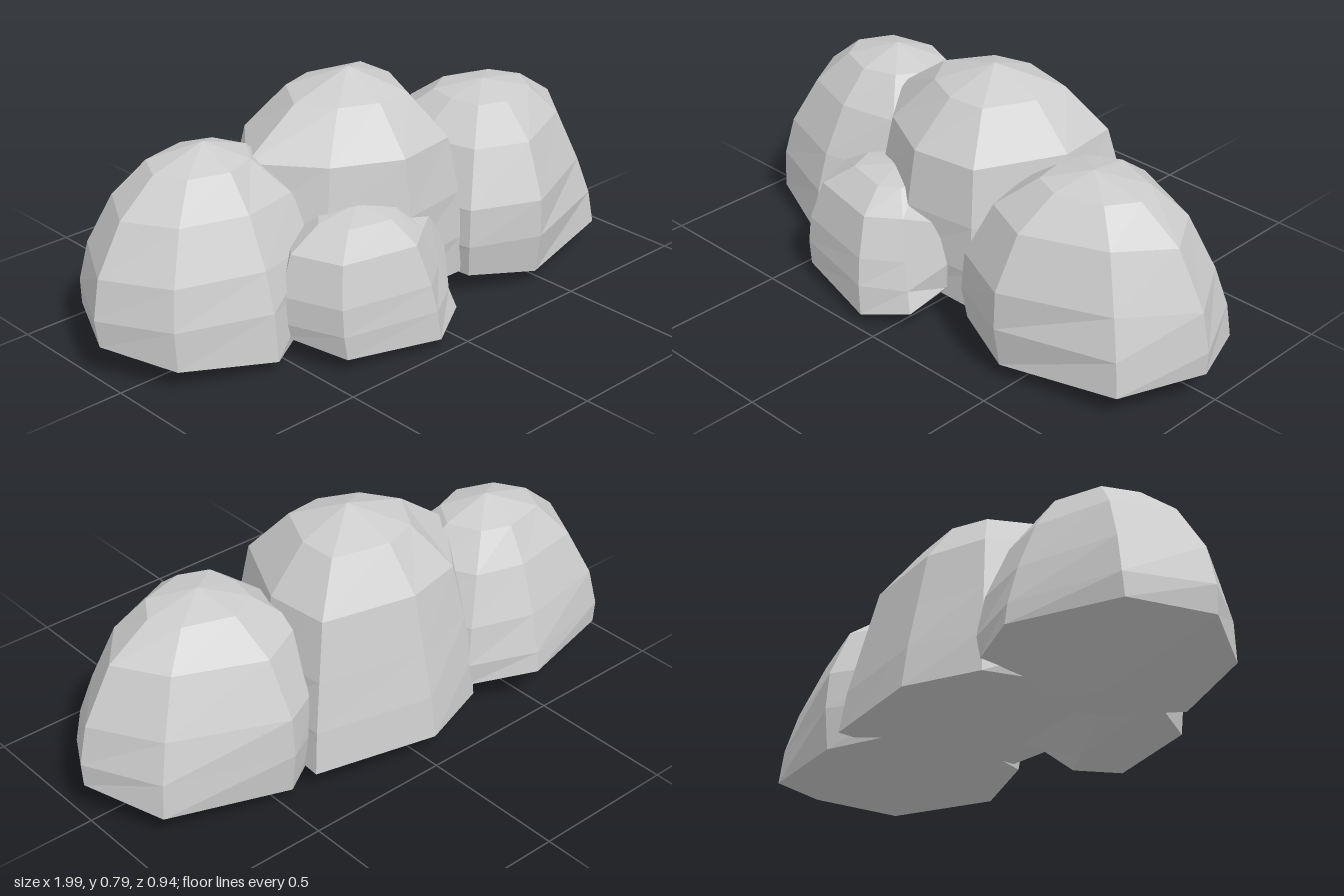
import * as THREE from 'three';

const material = new THREE.MeshStandardMaterial({ color: 0xcccccc, flatShading: true });

// A faceted boulder: an eight-point footprint [x, z, baseY, bulge] lofted
// through rings [scale, y] to an apex, and closed below by a shallow point.
// Bulge swells (or hollows) that corner's upper wall.
function boulder(name, { foot, rings, apex, bottom }) {
  const points = [];
  const index = [];
  const n = foot.length;
  const topY = apex[1];

  // footprint ring, then scaled rings sliding towards the apex
  for (const [x, z, y] of foot) points.push(x, y, z);
  for (const [scale, y] of rings) {
    const t = y / topY;
    const cx = THREE.MathUtils.lerp(bottom[0], apex[0], t);
    const cz = THREE.MathUtils.lerp(bottom[2], apex[2], t);
    for (const [x, z, , bulge] of foot) {
      const k = scale * (1 + bulge * 6.75 * t * t * (1 - t));
      points.push(cx + (x - bottom[0]) * k, y, cz + (z - bottom[2]) * k);
    }
  }
  const top = points.length / 3;
  points.push(...apex, ...bottom);

  // walls, crown and underside
  for (let i = 0; i < n; i++) {
    const j = (i + 1) % n;
    for (let r = 0; r < rings.length; r++) {
      const a = r * n + i, b = r * n + j;
      index.push(a, a + n, b, b, a + n, b + n);
    }
    const last = rings.length * n;
    index.push(last + i, top, last + j);
    index.push(i, j, top + 1);
  }

  const indexed = new THREE.BufferGeometry();
  indexed.setAttribute('position', new THREE.Float32BufferAttribute(points, 3));
  indexed.setIndex(index);
  const geometry = indexed.toNonIndexed();
  geometry.computeVertexNormals();
  const mesh = new THREE.Mesh(geometry, material);
  mesh.name = name;
  return mesh;
}

export function createModel() {
  const group = new THREE.Group();
  group.name = 'rockCluster';

  group.add(
    // tallest rock in the middle
    boulder('centerRock', {
      foot: [[0.37, -0.07, 0.08, 0], [0.21, 0.26, 0.09, 0], [-0.05, 0.27, 0.1, 0.09], [-0.31, 0.17, 0.09, 0],
        [-0.42, -0.07, 0.08, 0.2], [-0.29, -0.37, 0.08, -0.06], [-0.03, -0.46, 0.08, -0.13], [0.39, -0.36, 0.08, -0.12]],
      rings: [[1, 0.22], [0.96, 0.38], [0.86, 0.57], [0.5, 0.715]],
      apex: [0, 0.785, -0.06], bottom: [0, 0.03, -0.07],
    }),
    // broad rock on the model's right
    boulder('rightRock', {
      foot: [[-0.16, -0.1, 0.1, 0], [-0.33, 0.11, 0.06, 0.2], [-0.57, 0.24, 0.04, -0.1], [-0.87, 0.12, 0.07, -0.04],
        [-0.99, -0.11, 0.11, 0], [-0.87, -0.37, 0.12, -0.06], [-0.49, -0.47, 0.13, -0.16], [-0.26, -0.36, 0.12, -0.06]],
      rings: [[1.02, 0.2], [0.96, 0.33], [0.74, 0.49], [0.44, 0.6]],
      apex: [-0.54, 0.655, -0.14], bottom: [-0.54, 0.01, -0.11],
    }),
    // rock on the model's left
    boulder('leftRock', {
      foot: [[0.99, 0.04, 0.11, 0], [0.85, 0.29, 0.075, -0.14], [0.45, 0.38, 0.05, 0.12], [0.22, 0.29, 0.08, 0.08],
        [0.18, 0.04, 0.09, 0.15], [0.22, -0.2, 0.08, 0.12], [0.47, -0.34, 0.05, 0.08], [0.88, -0.22, 0.075, -0.1]],
      rings: [[1.01, 0.19], [0.95, 0.32], [0.73, 0.5], [0.41, 0.6]],
      apex: [0.52, 0.635, 0.045], bottom: [0.52, 0.015, 0.04],
    }),
    // small rock at the front
    boulder('frontRock', {
      foot: [[0.09, 0.27, 0.11, 0.28], [0.06, 0.39, 0.06, -0.14], [-0.09, 0.47, 0.03, -0.04], [-0.42, 0.39, 0.05, 0],
        [-0.5, 0.18, 0.08, 0], [-0.4, 0.06, 0.08, 0], [-0.17, 0.02, 0.08, 0], [0.08, 0.08, 0.09, 0]],
      rings: [[1, 0.13], [0.96, 0.22], [0.8, 0.35], [0.46, 0.42]],
      apex: [-0.19, 0.445, 0.19], bottom: [-0.15, 0, 0.2],
    }),
  );
  return group;
}
